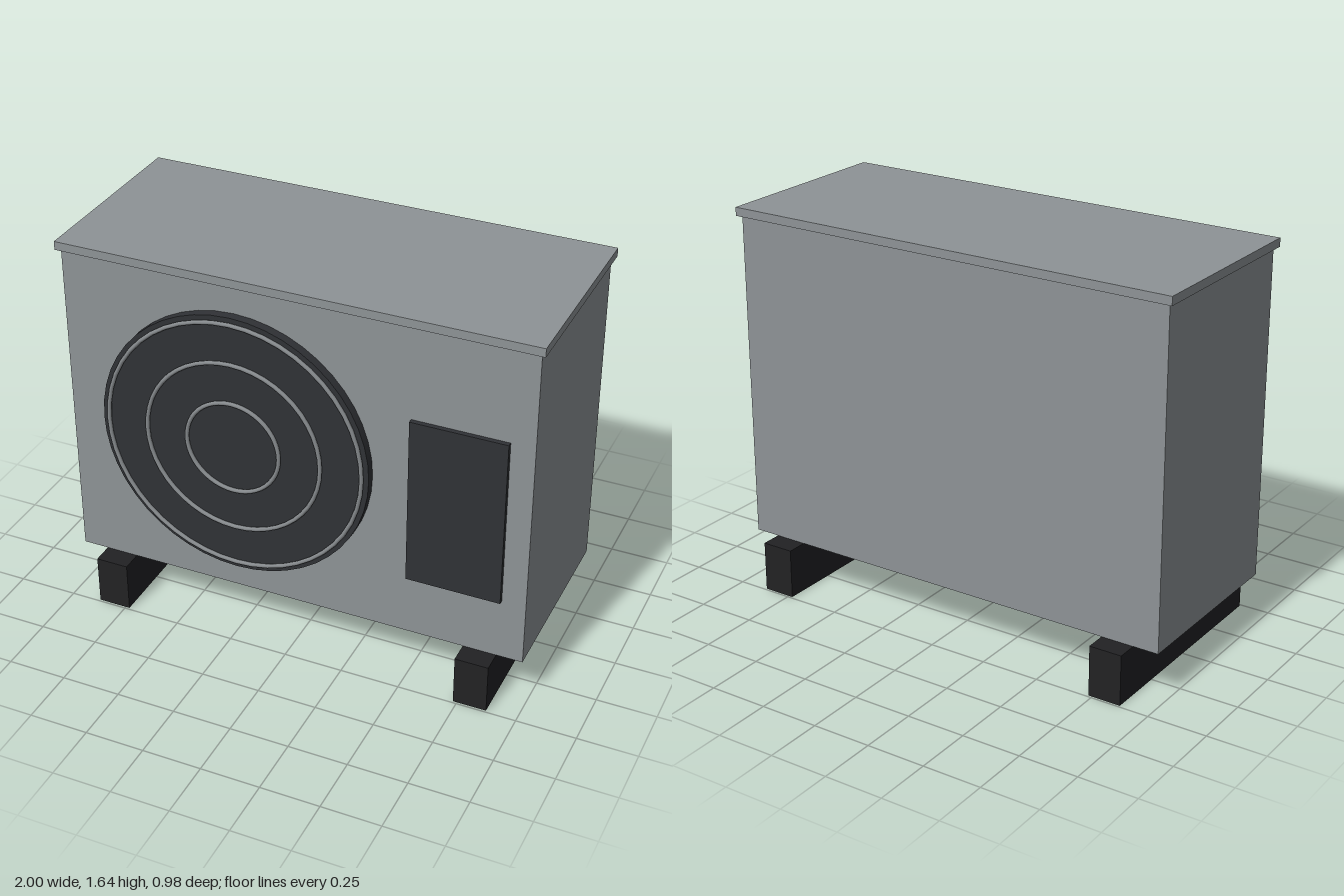
import * as THREE from 'three';

const paint = (color) => new THREE.MeshStandardMaterial({ color });

export function createModel() {
  const model = new THREE.Group();
  model.name = 'outdoorUnit';
  const casing = paint(0x8e9396);
  const dark = paint(0x303236);
  const rubber = paint(0x222224);
  const wire = paint(0x85898c);

  const add = (name, geometry, material, x, y, z, parent = model) => {
    const mesh = new THREE.Mesh(geometry, material);
    mesh.name = name;
    mesh.position.set(x, y, z);
    parent.add(mesh);
    return mesh;
  };

  // Cabinet with a slightly overhanging lid
  add('cabinet', new THREE.BoxGeometry(1.964, 1.395, 0.804), casing, 0, 0.9125, 0);
  add('lid', new THREE.BoxGeometry(2, 0.036, 0.84), casing, 0, 1.627, 0);

  // Mounting rails, running front to back
  for (const side of [-1, 1]) {
    add(side < 0 ? 'rightFoot' : 'leftFoot', new THREE.BoxGeometry(0.14, 0.215, 0.982), rubber, side * 0.803, 0.1075, 0);
  }

  // Round fan cover with concentric guard rings
  const fan = new THREE.Group();
  fan.name = 'fan';
  fan.position.set(-0.24, 0.914, 0.4);
  model.add(fan);
  const disc = new THREE.CylinderGeometry(0.578, 0.578, 0.04, 48).rotateX(Math.PI / 2);
  add('fanCover', disc, dark, 0, 0, 0.02, fan);
  for (const radius of [0.55, 0.376, 0.2]) {
    add('guardRing', new THREE.TorusGeometry(radius, 0.009, 8, 48), wire, 0, 0, 0.046, fan);
  }

  // Service panel
  add('servicePanel', new THREE.BoxGeometry(0.393, 0.725, 0.022), dark, 0.687, 0.847, 0.411);

  return model;
}
